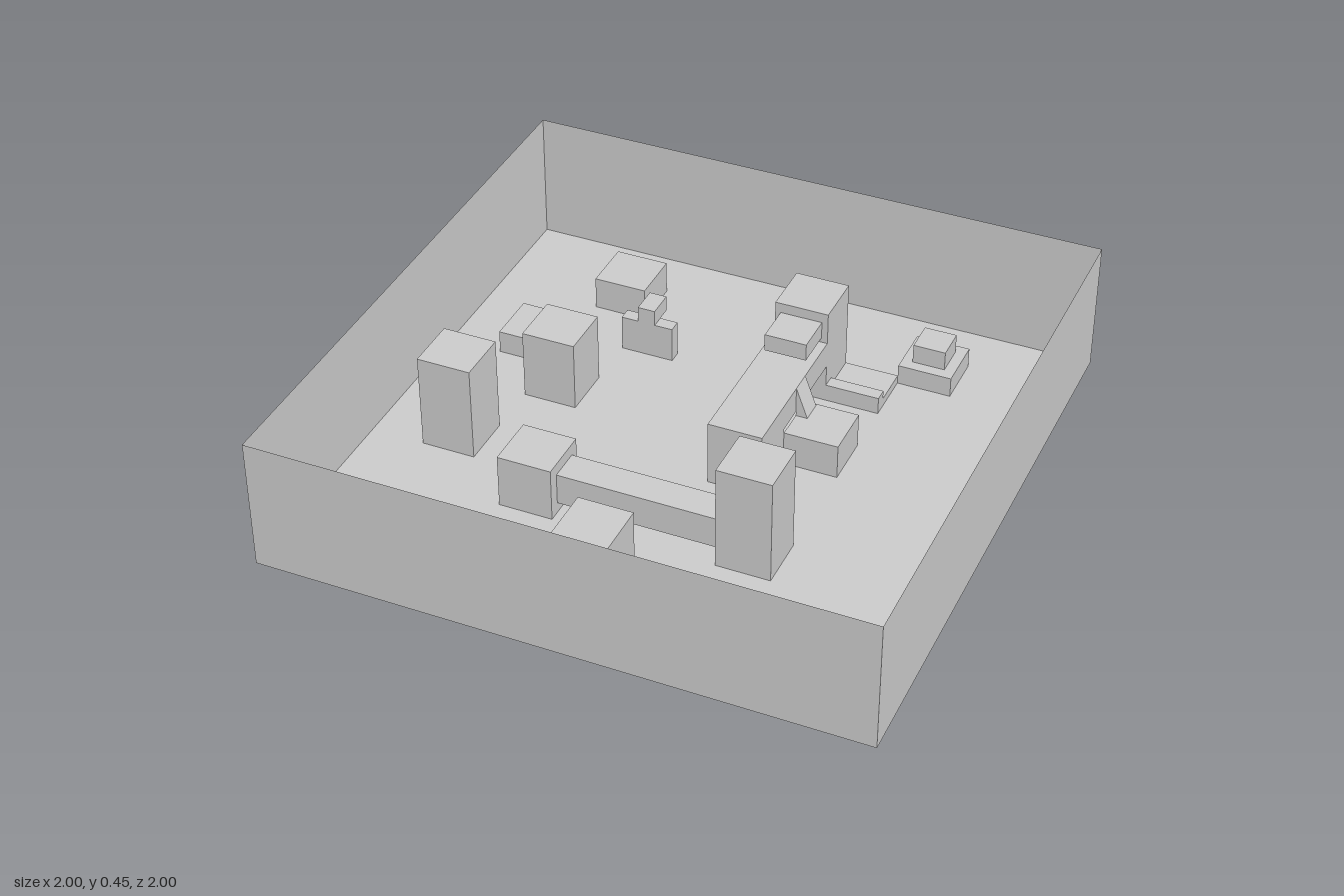
import * as THREE from 'three';

const N = 11, U = 2 / N;
const at = (i) => -1 + i * U; // grid line position
const material = new THREE.MeshStandardMaterial({ color: 0xcccccc, side: THREE.DoubleSide, flatShading: true });

export function createModel() {
  const model = new THREE.Group();

  const add = (name, geometry, parent = model) => {
    const mesh = new THREE.Mesh(geometry, material);
    mesh.name = name;
    parent.add(mesh);
    return mesh;
  };

  // Box between two corners; the listed sides (px nx py ny pz nz = 0..5) are left open
  const box = (name, [x0, x1], [y0, y1], [z0, z1], open = [], parent = model) => {
    const g = new THREE.BoxGeometry(x1 - x0, y1 - y0, z1 - z0);
    g.translate((x0 + x1) / 2, (y0 + y1) / 2, (z0 + z1) / 2);
    const index = Array.from(g.index.array);
    g.setIndex(index.filter((v, i) => !open.includes(Math.floor(i / 6))));
    g.clearGroups();
    return add(name, g, parent);
  };

  // Hollow one-cell block, open towards the ground
  const used = new Set();
  const block = (name, i, j, h) => {
    used.add(i + ',' + j);
    return box(name, [at(i), at(i + 1)], [0, h], [at(j), at(j + 1)], [3]);
  };

  // Outer walls of the arena, paper thin
  box('outerWalls', [-1, 1], [0, 0.45], [-1, 1], [2, 3]);

  // Free-standing blocks: column, row, height
  [
    [2, 1, 0.115], [8, 1, 0.07], [1, 3, 0.08], [2, 4, 0.243], [1, 6, 0.33],
    [5, 9, 0.28], [9, 10, 0.16], [7, 4, 0.12], [7, 2, 0.03],
  ].forEach(([i, j, h]) => block('block', i, j, h));

  // Smaller step on the back corner block
  box('blockCap', [0.49, 0.6], [0.07, 0.137], [-0.785, -0.675], [3]);

  // Raised lip on the low step beside the tower
  box('stepLip', [at(7), at(8)], [0.03, 0.06], [-0.5, at(3)], [3]);

  // Two pillars joined by a low beam
  block('beamPillarShort', 3, 7, 0.185);
  block('beamPillarTall', 7, 7, 0.364);
  box('beam', [at(4), at(7)], [0.036, 0.145], [0.305, 0.415], [0, 1]);

  // Tower with a bridge running forward to a support
  block('tower', 6, 2, 0.337);
  block('bridgeSupport', 6, 5, 0.226);
  box('bridge', [at(6), at(7)], [0.135, 0.226], [at(3), at(5)], [4, 5]);
  box('towerLedge', [0.11, 0.252], [0.242, 0.302], [at(3), -0.32], [5]);

  // Small ramp from the bridge down to the block beside it
  const slope = new THREE.Shape([
    new THREE.Vector2(at(7), 0.12), new THREE.Vector2(0.312, 0.12), new THREE.Vector2(at(7), 0.226),
  ]);
  const ramp = new THREE.ExtrudeGeometry(slope, { depth: 0.075, bevelEnabled: false });
  ramp.translate(0, 0, -0.265);
  add('ramp', ramp);

  // Thin wall with a raised centre post and a rear bracket
  const barrier = new THREE.Group();
  barrier.name = 'barrier';
  model.add(barrier);
  box('barrierWall', [at(3), at(4)], [0, 0.125], [-0.5, at(3)], [3], barrier);
  box('barrierPost', [-0.395, -0.335], [0.125, 0.18], [-0.5, at(3)], [3], barrier);
  box('barrierBracket', [-0.395, -0.335], [0.125, 0.18], [-0.55, -0.5], [5 - 1], barrier);

  // Floor, one tile per free cell so the hollow blocks stay open below
  const positions = [], index = [];
  const tile = (x0, x1, z0, z1) => {
    const n = positions.length / 3;
    positions.push(x0, 0, z0, x0, 0, z1, x1, 0, z1, x1, 0, z0);
    index.push(n, n + 1, n + 2, n, n + 2, n + 3);
  };
  for (let i = 0; i < N; i++) {
    for (let j = 0; j < N; j++) {
      if (used.has(i + ',' + j)) continue;
      const underBarrier = i === 3 && j === 2;
      tile(at(i), at(i + 1), at(j), underBarrier ? -0.5 : at(j + 1));
    }
  }
  const floor = new THREE.BufferGeometry();
  floor.setAttribute('position', new THREE.Float32BufferAttribute(positions, 3));
  floor.setIndex(index);
  floor.computeVertexNormals();
  add('floor', floor);

  return model;
}
